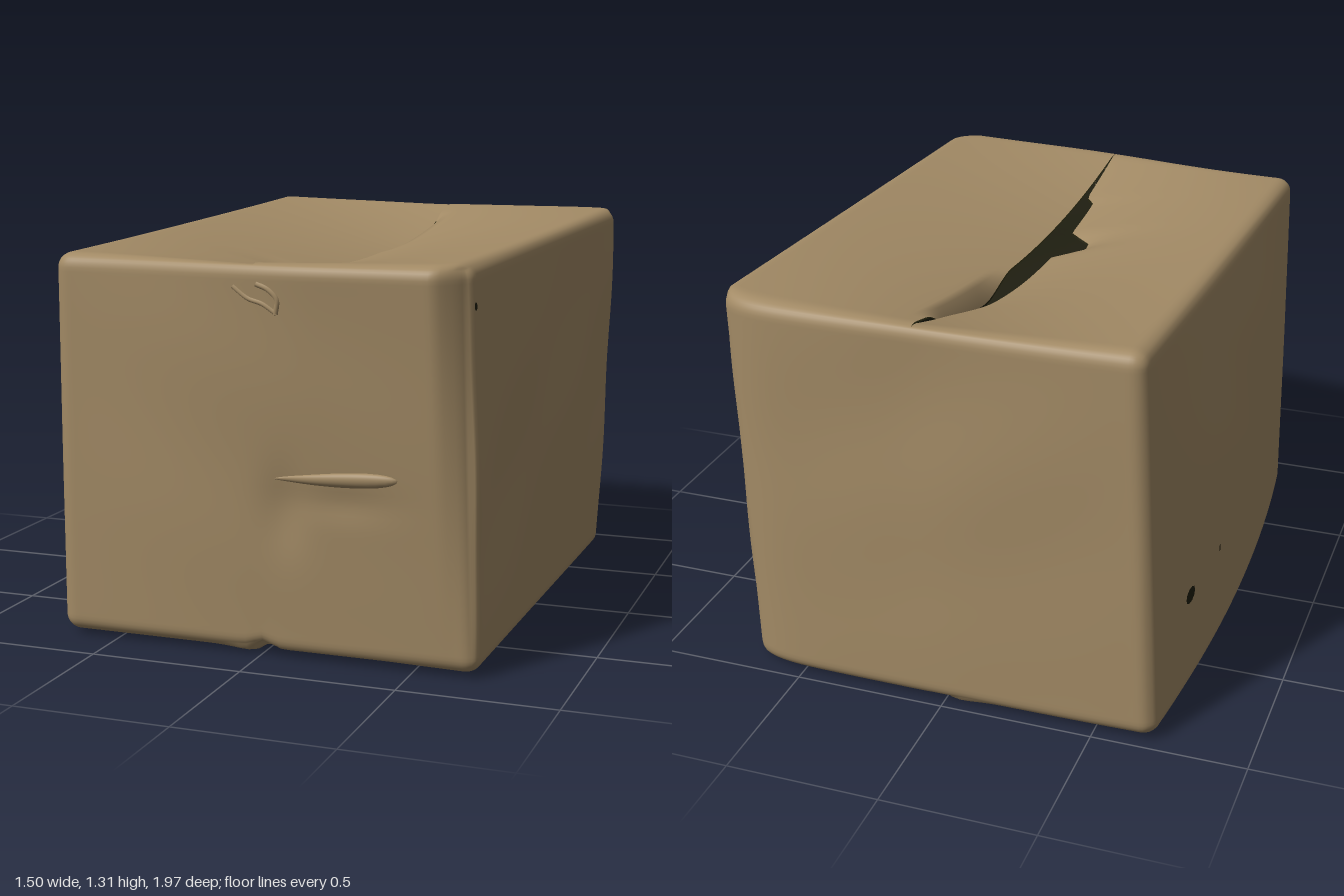
import * as THREE from 'three';
import { mergeVertices } from 'three/addons/utils/BufferGeometryUtils.js';

const N = 64;                       // lattice steps per face
const HALF = [0.7, 0.64, 0.92], R = 0.05;
const { lerp, clamp, smoothstep } = THREE.MathUtils;
const bell = (v, c, w) => Math.exp(-(((v - c) / w) ** 2));
// lattice is finer toward the rounded edges
const ease = (i) => { const t = (2 * i) / N - 1; return 0.5 * t + 0.5 * Math.sin((t * Math.PI) / 2); };

// eight leaning corners: [left, right] for each row
const CORNERS = {
  bottomBack: [[-0.7, 0.035, -0.985], [0.705, 0.015, -0.88]],
  bottomFront: [[-0.69, 0.03, 0.845], [0.71, 0.03, 0.845]],
  topBack: [[-0.64, 1.325, -0.985], [0.748, 1.315, -0.87]],
  topFront: [[-0.67, 1.265, 0.88], [0.69, 1.28, 0.91]],
};

// maps a point on the unit cube to the dented box; side is -1 or 1 on the top flaps
function dent([a, b, c], side = 0) {
  // round the edges
  const q = [a, b, c].map((v, i) => v * HALF[i]);
  const inner = q.map((v, i) => clamp(v, R - HALF[i], HALF[i] - R));
  const d = new THREE.Vector3(...q.map((v, i) => v - inner[i])).setLength(R).toArray();
  const [u, v, w] = q.map((_, i) => ((inner[i] + d[i]) / HALF[i] + 1) / 2);
  // lean the corners
  const row = (name, k) => lerp(CORNERS[name][0][k], CORNERS[name][1][k], u);
  let [x, y, z] = [0, 1, 2].map((k) => lerp(
    lerp(row('bottomBack', k), row('bottomFront', k), w),
    lerp(row('topBack', k), row('topFront', k), w), v));

  // seam wanders to the right of the middle near the top
  x += (1 - Math.abs(a)) * v * v * lerp(0.025, 0.02, w);
  const nearX = 1 - a * a, nearY = 1 - b * b, nearZ = 1 - c * c;
  // front flares out at the top right, back bellies out beside its right corner
  z += 0.075 * smoothstep(a, -0.95, 0.3) * (1 - smoothstep(a, 0.84, 1)) * v ** 1.2 * w ** 8;
  z -= (0.085 * u * (1 - a ** 10) + 0.008 * nearX) * (1 - w) ** 6;
  // the -x wall swells low down between its corners
  x -= 0.055 * nearZ * (1 - v ** 3) * (1 - u) ** 6;
  // soft crumples
  const ripple = Math.sin(5 * x + 3 * y) * Math.sin(4 * z - 2 * y + 1) + 0.5 * Math.sin(9 * y + 6 * z + 4 * x);
  if (a === -1) x -= nearY * nearZ * 0.005 * ripple;
  if (a === 1) x += nearY * (0.01 + 0.005 * ripple);
  if (c === -1) z -= nearX * nearY * 0.006 * ripple - 0.01 * bell(x, 0.1, 0.15) * v * nearY;
  if (c === 1) {
    z += nearX * nearY * 0.005 * ripple;
    // hollow around the pinched fold
    z -= 0.015 * bell(x, 0.1, 0.07) * bell(y, 0.5, 0.13) + 0.008 * bell(x, 0.3, 0.15) * bell(y, 0.54, 0.05);
    y += 0.022 * bell(a, 0, 0.05) * (1 - v) ** 8;
  }
  if (b === -1) {
    // bottom seam, with the +x flap pushed in behind the lip of the other
    y += 0.022 * bell(a, 0.01, 0.04) * (1 - nearZ) - 0.008 * bell(a, -0.08, 0.1) + 0.003 * nearX * nearZ * ripple;
    if (a > 0) y += 0.045 * (1 - a) * Math.sqrt(nearZ);
  }
  if (side) {
    // top flaps sag toward the seam, the left one lower and torn back
    y -= (side < 0 ? 0.165 : 0.11) * (1 - Math.abs(a)) ** 1.2 * nearZ;
    y += 0.002 * nearX * nearZ * ripple;
    const open = smoothstep(z, -0.72, -0.4) * (1 - smoothstep(z, 0.57, 0.62));
    const torn = Math.exp(-(((z - 0.24) / 0.075) ** 4));
    if (side < 0) x -= (1 + a) ** 4 * (0.035 * open + 0.09 * torn);
    // edge of the right flap curls down toward the back
    else y -= 0.06 * bell(a, 0, 0.025) * smoothstep(z, -0.85, -0.65) * (1 - smoothstep(z, -0.4, -0.15));
  }
  return [x, y, z];
}

// faces on the unit cube: [name, point, first column, last column, flap side]
const FACES = [
  ['frontWall', (s, t) => [s, t, 1], 0, N, 0],
  ['backWall', (s, t) => [-s, t, -1], 0, N, 0],
  ['positiveXWall', (s, t) => [1, t, -s], 0, N, 0],
  ['negativeXWall', (s, t) => [-1, t, s], 0, N, 0],
  ['bottomFlaps', (s, t) => [s, -1, t], 0, N, 0],
  ['topFlapNegativeX', (s, t) => [s, 1, -t], 0, N / 2, -1],
  ['topFlapPositiveX', (s, t) => [s, 1, -t], N / 2, N, 1],
];

// one welded skin, so that normals run smoothly over the rounded edges
function buildSkin(scale, flip) {
  const pos = [], index = [], ranges = [];
  for (const [name, point, i0, i1, side] of FACES) {
    const base = pos.length / 3, cols = i1 - i0 + 1, start = index.length;
    for (let j = 0; j <= N; j++) for (let i = i0; i <= i1; i++) {
      const [x, y, z] = dent(point(ease(i), ease(j)), side);
      pos.push(x * scale, (y - 0.65) * scale + 0.65, z * scale);
    }
    for (let j = 0; j < N; j++) for (let i = 0; i < cols - 1; i++) {
      const p = base + j * cols + i, q = p + 1, r = p + cols, s = r + 1;
      if (flip) index.push(p, s, q, p, r, s);
      else index.push(p, q, s, p, s, r);
    }
    ranges.push([name, start, index.length]);
  }
  let geo = new THREE.BufferGeometry();
  geo.setAttribute('position', new THREE.Float32BufferAttribute(pos, 3));
  geo.setIndex(index);
  geo = mergeVertices(geo, 1e-4);
  geo.computeVertexNormals();
  return { geo, ranges };
}

// point on the front wall near a given x and y
const onFront = (x, y, lift = 0) => {
  const p = new THREE.Vector3(...dent([(x - 0.01) / 0.7, (y - 0.65) / 0.63, 1]));
  p.z += lift;
  return p;
};

export function createModel() {
  const model = new THREE.Group();
  model.name = 'cardboardBox';
  const cardboard = new THREE.MeshStandardMaterial({ color: 0xa28a65, side: THREE.DoubleSide });
  const inside = new THREE.MeshStandardMaterial({ color: 0x1f1e0c, side: THREE.DoubleSide });
  cardboard.name = 'cardboard';
  inside.name = 'dark inside';
  const add = (name, geo, mat) => {
    const mesh = new THREE.Mesh(geo, mat);
    mesh.name = name;
    model.add(mesh);
    return mesh;
  };

  // outer walls and flaps
  const { geo, ranges } = buildSkin(1, false);
  for (const [name, from, to] of ranges) {
    const part = new THREE.BufferGeometry();
    part.setAttribute('position', geo.attributes.position);
    part.setAttribute('normal', geo.attributes.normal);
    part.setIndex(Array.from(geo.index.array.slice(from, to)));
    add(name, part, cardboard);
  }
  // dark lining seen through the gap
  add('lining', buildSkin(0.988, true).geo, inside);

  // small punctures in the side walls: wall, height, depth, radii
  const punctures = [
    [-1, -0.46, -0.65, 0.04, 0.045], [-1, -0.45, -0.31, 0.02, 0.008], [1, 0.8, 0.965, 0.02, 0.008],
  ];
  for (const [wall, t, s, rt, rs] of punctures) {
    const hole = new THREE.CircleGeometry(1, 10);
    const p = hole.attributes.position;
    for (let i = 0; i < p.count; i++) {
      const [x, y, z] = dent([wall, t + rt * p.getY(i), s - wall * rs * p.getX(i)]);
      p.setXYZ(i, x + wall * 0.004, y, z);
    }
    hole.computeVertexNormals();
    add('puncture', hole, inside);
  }

  // pinched fold across the front, thicker at its right end
  const fold = new THREE.SphereGeometry(1, 32, 16);
  const f = fold.attributes.position;
  for (let i = 0; i < f.count; i++) {
    const x = f.getX(i), grow = 0.65 + 0.35 * x;
    const p = onFront(0.27 + 0.21 * x, 0.612 + 0.012 * x + 0.034 * grow * f.getY(i), 0.026 * grow * f.getZ(i) - 0.002);
    f.setXYZ(i, p.x, p.y, p.z);
  }
  fold.computeVertexNormals();
  add('frontFold', fold, cardboard);

  // curled tear near the front rim, half sunk in the wall
  const tears = [
    ['frontTear', [[-0.05, 1.2], [0, 1.165], [0.05, 1.15], [0.1, 1.12]], 0.008],
    ['frontTearLip', [[0.03, 1.21], [0.07, 1.195], [0.1, 1.165], [0.095, 1.12]], 0.009],
  ];
  for (const [name, points, radius] of tears) {
    const path = new THREE.CatmullRomCurve3(points.map(([x, y]) => onFront(x, y, -0.002)));
    add(name, new THREE.TubeGeometry(path, 20, radius, 8), cardboard);
  }
  return model;
}
